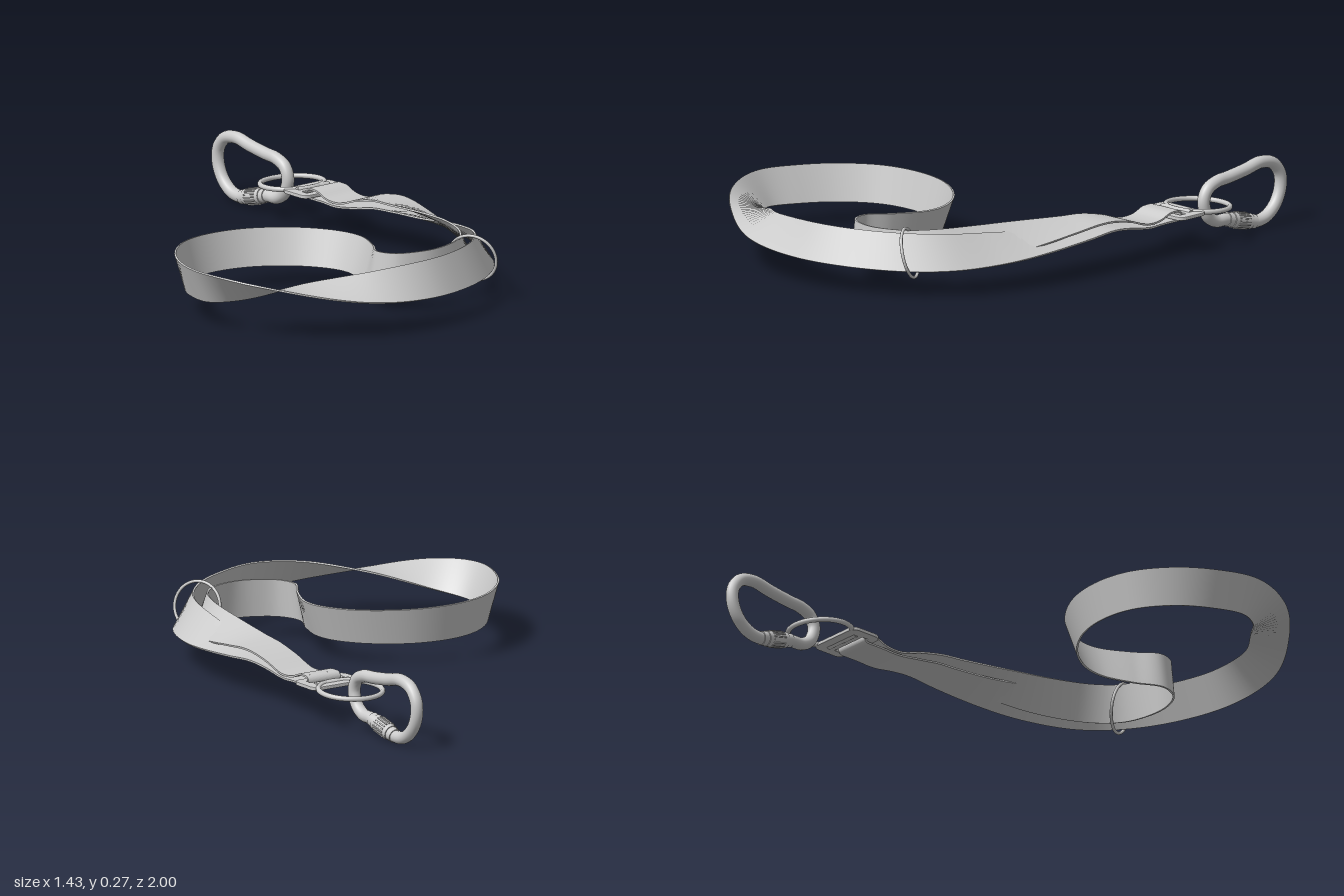
import * as THREE from 'three';

const material = new THREE.MeshStandardMaterial({ color: 0xcccccc, side: THREE.DoubleSide });
const V = (x, y, z) => new THREE.Vector3(x, y, z);
const CX = 0.588; // centre line of the clip hardware

function add(parent, name, geometry) {
  const mesh = new THREE.Mesh(geometry, material);
  mesh.name = name;
  parent.add(mesh);
  return mesh;
}

// Flat band swept along stations [x, y, z, tilt]; tilt lifts the left edge, in degrees
function ribbon(stations, width, thick, steps) {
  const path = new THREE.CatmullRomCurve3(stations.map(s => V(s[0], s[1], s[2])));
  const tilts = new THREE.CatmullRomCurve3(stations.map(s => V(s[3], 0, 0)), false, 'catmullrom', 0.5);
  const signs = [[-1, 1], [1, 1], [1, -1], [-1, -1]];
  const pos = [], index = [];
  for (let i = 0; i <= steps; i++) {
    const p = path.getPoint(i / steps), t = path.getTangent(i / steps);
    const a = THREE.MathUtils.degToRad(tilts.getPoint(i / steps).x);
    const w = V(t.z, 0, -t.x).normalize().multiplyScalar(Math.cos(a)).add(V(0, Math.sin(a), 0));
    const n = w.clone().cross(t).normalize();
    const corner = ([sw, sn]) => p.clone()
      .addScaledVector(w, sw * width / 2).addScaledVector(n, sn * thick / 2);
    for (let f = 0; f < 4; f++) {
      pos.push(...corner(signs[f]).toArray(), ...corner(signs[(f + 1) % 4]).toArray());
      if (i < steps) {
        const k = i * 8 + f * 2;
        index.push(k, k + 1, k + 9, k, k + 9, k + 8);
      }
    }
  }
  const g = new THREE.BufferGeometry();
  g.setAttribute('position', new THREE.Float32BufferAttribute(pos, 3));
  g.setIndex(index);
  g.computeVertexNormals();
  return g;
}

function roundedRect(path, x0, y0, x1, y1, r) {
  path.moveTo(x0 + r, y0);
  path.lineTo(x1 - r, y0);
  path.quadraticCurveTo(x1, y0, x1, y0 + r);
  path.lineTo(x1, y1 - r);
  path.quadraticCurveTo(x1, y1, x1 - r, y1);
  path.lineTo(x0 + r, y1);
  path.quadraticCurveTo(x0, y1, x0, y1 - r);
  path.lineTo(x0, y0 + r);
  path.quadraticCurveTo(x0, y0, x0 + r, y0);
  return path;
}

export function createModel() {
  const model = new THREE.Group();
  model.name = 'lanyard';

  // Strap: out along the lower layer, round the twisted loop, back along the upper layer
  const outgoing = [
    [0.59, 0.137, -0.352, 0], [0.59, 0.137, -0.28, 0], [0.59, 0.135, -0.2, 0],
    [0.592, 0.15, -0.1, 0], [0.6, 0.165, 0.0, -3], [0.603, 0.165, 0.12, -10],
    [0.592, 0.163, 0.3, -22], [0.56, 0.167, 0.5, -42], [0.49, 0.172, 0.69, -58],
    [0.37, 0.176, 0.82, -66], [0.2, 0.18, 0.915, -66], [0, 0.184, 0.963, -62],
    [-0.24, 0.184, 0.927, -38],
  ];
  const loop = [
    [-0.45, 0.184, 0.79, -3], [-0.61, 0.178, 0.64, 36], [-0.682, 0.172, 0.48, 62],
    [-0.65, 0.166, 0.33, 70], [-0.575, 0.163, 0.205, 75], [-0.45, 0.16, 0.105, 77],
    [-0.31, 0.157, 0.072, 77], [-0.15, 0.155, 0.1, 75], [0, 0.153, 0.2, 72],
    [0.08, 0.152, 0.32, 70], [0.095, 0.152, 0.42, 70], [0.05, 0.153, 0.55, 76],
    [0.0, 0.155, 0.65, 82], [0.03, 0.157, 0.73, 85],
  ];
  const returning = [
    [0.11, 0.16, 0.775, 86], [0.2, 0.163, 0.788, 86], [0.33, 0.168, 0.757, 78],
    [0.42, 0.174, 0.68, 68], [0.5, 0.182, 0.53, 52], [0.548, 0.19, 0.35, 32],
    [0.578, 0.197, 0.15, 12], [0.59, 0.199, 0.02, 3], [0.592, 0.18, -0.09, 0],
    [0.59, 0.15, -0.19, 0], [0.59, 0.153, -0.26, 0], [0.59, 0.171, -0.31, 0],
    [0.59, 0.173, -0.352, 0],
  ];
  add(model, 'strap', ribbon([...outgoing, ...loop, ...returning], 0.145, 0.007, 400));

  // Fold of the strap round the buckle bar
  const fold = new THREE.Shape();
  fold.absarc(0, 0, 0.0215, Math.PI / 2, -Math.PI / 2, true);
  fold.absarc(0, 0, 0.0145, -Math.PI / 2, Math.PI / 2, false);
  const foldMesh = add(model, 'strapFold', new THREE.ExtrudeGeometry(fold,
    { depth: 0.145, bevelEnabled: false, curveSegments: 12 }));
  foldMesh.rotation.y = Math.PI / 2;
  foldMesh.position.set(0.59 - 0.0725, 0.155, -0.352);

  // Sliding ring round both layers of the strap
  const slider = add(model, 'sliderRing', new THREE.TorusGeometry(0.093, 0.006, 10, 64));
  slider.position.set(0.368, 0.166, 0.777);
  slider.quaternion.setFromUnitVectors(V(0, 0, 1), V(0.87, 0.25, -0.5).normalize());

  // Buckle: slotted plate with a collar that holds the key ring
  const buckle = new THREE.Group();
  buckle.name = 'buckle';
  model.add(buckle);
  const plate = roundedRect(new THREE.Shape(), -0.112, 0.33, 0.112, 0.465, 0.03);
  plate.holes.push(roundedRect(new THREE.Path(), -0.08, 0.357, 0.08, 0.392, 0.006));
  const plateMesh = add(buckle, 'bucklePlate', new THREE.ExtrudeGeometry(plate, {
    depth: 0.008, bevelThickness: 0.003, bevelSize: 0.003, bevelSegments: 2, curveSegments: 8,
  }));
  plateMesh.rotation.x = -Math.PI / 2;
  plateMesh.position.set(CX, 0.147, 0);
  const collar = add(buckle, 'ringCollar', new THREE.CylinderGeometry(0.013, 0.013, 0.15, 20));
  collar.rotation.z = Math.PI / 2;
  collar.position.set(CX, 0.152, -0.42);

  // Key ring, lying almost flat
  const keyRing = add(model, 'keyRing', new THREE.TorusGeometry(0.12, 0.01, 12, 72));
  keyRing.rotation.x = Math.PI / 2 - 0.06;
  keyRing.position.set(CX - 0.003, 0.149, -0.535);

  // Snap hook: pear-shaped closed bar
  const hook = new THREE.Group();
  hook.name = 'snapHook';
  hook.position.x = CX;
  model.add(hook);
  const bar = [
    [0.155, -0.563], [0.2, -0.582], [0.222, -0.63], [0.228, -0.69], [0.24, -0.78],
    [0.255, -0.865], [0.24, -0.93], [0.195, -0.967], [0.14, -0.97], [0.08, -0.942],
    [0.04, -0.89], [0.032, -0.83], [0.05, -0.755], [0.068, -0.68], [0.072, -0.625],
    [0.1, -0.582],
  ];
  add(hook, 'hookBar', new THREE.TubeGeometry(
    new THREE.CatmullRomCurve3(bar.map(([y, z]) => V(0, y, z)), true), 160, 0.024, 16, true));

  // Screw sleeve with end collars and grip ridges on the gate
  const sleeve = new THREE.Group();
  sleeve.name = 'gateSleeve';
  sleeve.position.set(0, 0.05, -0.757);
  sleeve.quaternion.setFromUnitVectors(V(0, 1, 0), V(0, 0.068 - 0.032, -0.68 + 0.83).normalize());
  hook.add(sleeve);
  add(sleeve, 'sleeveBody', new THREE.CylinderGeometry(0.03, 0.03, 0.1, 24));
  for (const y of [-0.06, 0.06]) {
    add(sleeve, 'sleeveCollar', new THREE.CylinderGeometry(0.027, 0.027, 0.03, 24)).position.y = y;
  }
  for (let i = 0; i < 16; i++) {
    const a = i / 16 * Math.PI * 2;
    const ridge = add(sleeve, 'gripRidge', new THREE.BoxGeometry(0.005, 0.06, 0.006));
    ridge.position.set(Math.sin(a) * 0.0305, 0, Math.cos(a) * 0.0305);
    ridge.rotation.y = a;
  }
  return model;
}
